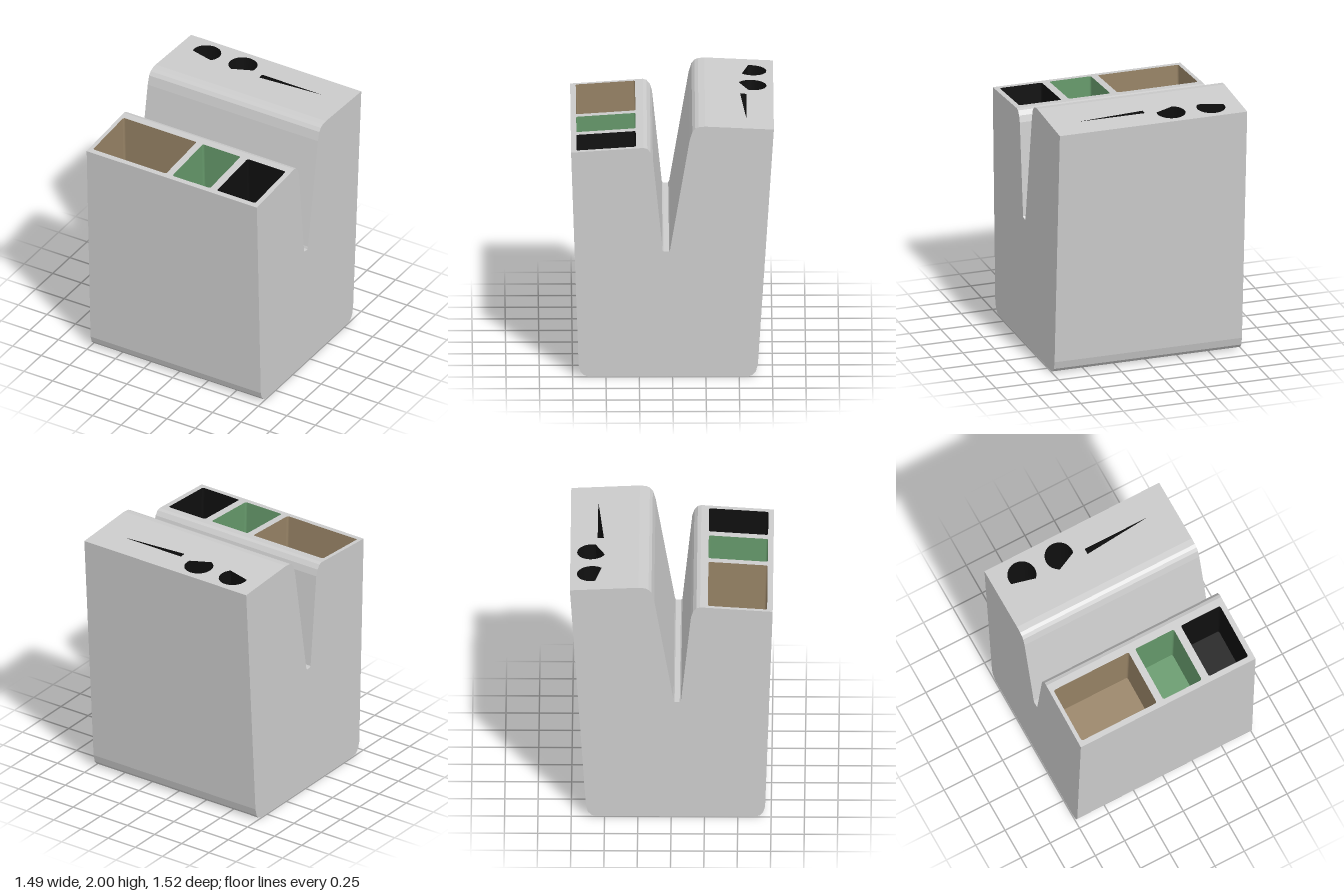
import * as THREE from 'three';
import { mergeGeometries } from 'three/addons/utils/BufferGeometryUtils.js';

const W = 0.745; // half width of the block

// Side profile as [z, y], split where the two pierced top plates sit
const valley = [[0.217, 1.83], [0.19, 1.822], [0.164, 1.79], [0.148, 1.74], [0.074, 1.01], [0.064, 1],
  [0.026, 1], [0.018, 1.02], [-0.127, 1.885], [-0.148, 1.957], [-0.17, 1.982], [-0.196, 1.995], [-0.245, 2]];
const shell = [[-0.76, 1.975], [-0.64, 0.1], [-0.625, 0.04], [-0.6, 0.012], [-0.57, 0],
  [0.63, 0], [0.665, 0.012], [0.69, 0.04], [0.705, 0.09], [0.762, 1.793]];

// Quads between two polylines of equal length
function strip(a, b) {
  const pos = [];
  for (let i = 0; i < a.length - 1; i++) {
    for (const p of [a[i], b[i], b[i + 1], a[i], b[i + 1], a[i + 1]]) pos.push(...p);
  }
  const g = new THREE.BufferGeometry();
  g.setAttribute('position', new THREE.Float32BufferAttribute(pos, 3));
  g.computeVertexNormals();
  return g;
}

const ribbon = (path) => strip(path.map(([z, y]) => [-W, y, z]), path.map(([z, y]) => [W, y, z]));

// Flat side wall, facing +x (s = 1) or -x (s = -1)
function sideWall(s) {
  const shape = new THREE.Shape([...valley, ...shell].map(([z, y]) => new THREE.Vector2(-s * z, y)));
  return new THREE.ShapeGeometry(shape).rotateY(s * Math.PI / 2).translate(s * W, 0, 0);
}

// Lay a shape drawn in (x, -z) onto the sloping surface y = height(z)
function lay(shape, height) {
  const g = new THREE.ShapeGeometry(shape, 16).rotateX(-Math.PI / 2);
  const p = g.attributes.position;
  for (let i = 0; i < p.count; i++) p.setY(i, height(p.getZ(i)));
  g.computeVertexNormals();
  return g;
}

const slope = ([z0, y0], [z1, y1]) => (z) => y0 + (y1 - y0) * (z - z0) / (z1 - z0);

function rectangle(x0, x1, z0, z1, r = 0) {
  const s = new THREE.Shape();
  if (!r) return s.setFromPoints([[x0, -z1], [x1, -z1], [x1, -z0], [x0, -z0]].map((p) => new THREE.Vector2(...p)));
  [[x1 - r, -z1 + r], [x1 - r, -z0 - r], [x0 + r, -z0 - r], [x0 + r, -z1 + r]].forEach(([x, v], i) =>
    s.absarc(x, v, r, (i - 1) * Math.PI / 2, i * Math.PI / 2, false));
  s.closePath();
  return s;
}

// Round opening with one side cut off by a chord
function cutCircle(x, z, r, from, to) {
  const s = new THREE.Shape();
  s.absarc(x, -z, r, THREE.MathUtils.degToRad(from), THREE.MathUtils.degToRad(to), false);
  s.closePath();
  return s;
}

function mesh(name, geometry, color = 0xcccccc) {
  const m = new THREE.Mesh(geometry, new THREE.MeshStandardMaterial({ color, flatShading: true }));
  m.name = name;
  return m;
}

// Inner walls and floor of an opening; lean shifts the floor in z
function pocket(name, shape, height, depth, lean, color) {
  const top = shape.getPoints(16).map((p) => [p.x, height(-p.y), -p.y]);
  if (top[0].some((c, i) => Math.abs(c - top.at(-1)[i]) > 1e-6)) top.push(top[0]);
  const bottom = top.map(([x, y, z]) => [x, y - depth, z + lean]);
  const walls = strip(bottom, top);
  const floor = lay(shape, height).translate(0, -depth, lean).toNonIndexed();
  floor.deleteAttribute('uv');
  return mesh(name, mergeGeometries([walls, floor]), color);
}

export function createModel() {
  const model = new THREE.Group();
  model.name = 'deskOrganizer';

  // Outer shell
  model.add(mesh('valley', ribbon(valley)), mesh('shell', ribbon(shell)));
  model.add(mesh('leftSide', sideWall(1)), mesh('rightSide', sideWall(-1)));

  const black = 0x0f0f0f;
  const decks = [
    { // low front deck with three bins
      name: 'frontDeck', back: valley[0], front: shell.at(-1), depth: 0.6, lean: -0.02,
      openings: [
        ['wideBin', rectangle(-0.715, -0.075, 0.275, 0.72, 0.015), 0x968265],
        ['middleBin', rectangle(-0.02, 0.31, 0.275, 0.72, 0.015), 0x65986a],
        ['narrowBin', rectangle(0.37, 0.705, 0.275, 0.72, 0.015), black],
      ],
    },
    { // high rear deck with two handle holes and a blade slot
      name: 'rearDeck', back: shell[0], front: valley.at(-1), depth: 1.2, lean: 0.077,
      openings: [
        ['rightHole', cutCircle(-0.512, -0.6, 0.109, -44, 195), black],
        ['leftHole', cutCircle(-0.195, -0.6, 0.109, -15, 245), black],
        ['bladeSlot', new THREE.Shape([[0, 0.51], [0.53, 0.555], [0, 0.557]].map((p) => new THREE.Vector2(...p))), black],
      ],
    },
  ];

  for (const { name, back, front, depth, lean, openings } of decks) {
    const height = slope(back, front);
    const plate = rectangle(-W, W, back[0], front[0]);
    for (const [label, shape, color] of openings) {
      plate.holes.push(shape);
      model.add(pocket(label, shape, height, depth, lean, color));
    }
    model.add(mesh(name, lay(plate, height)));
  }
  return model;
}
